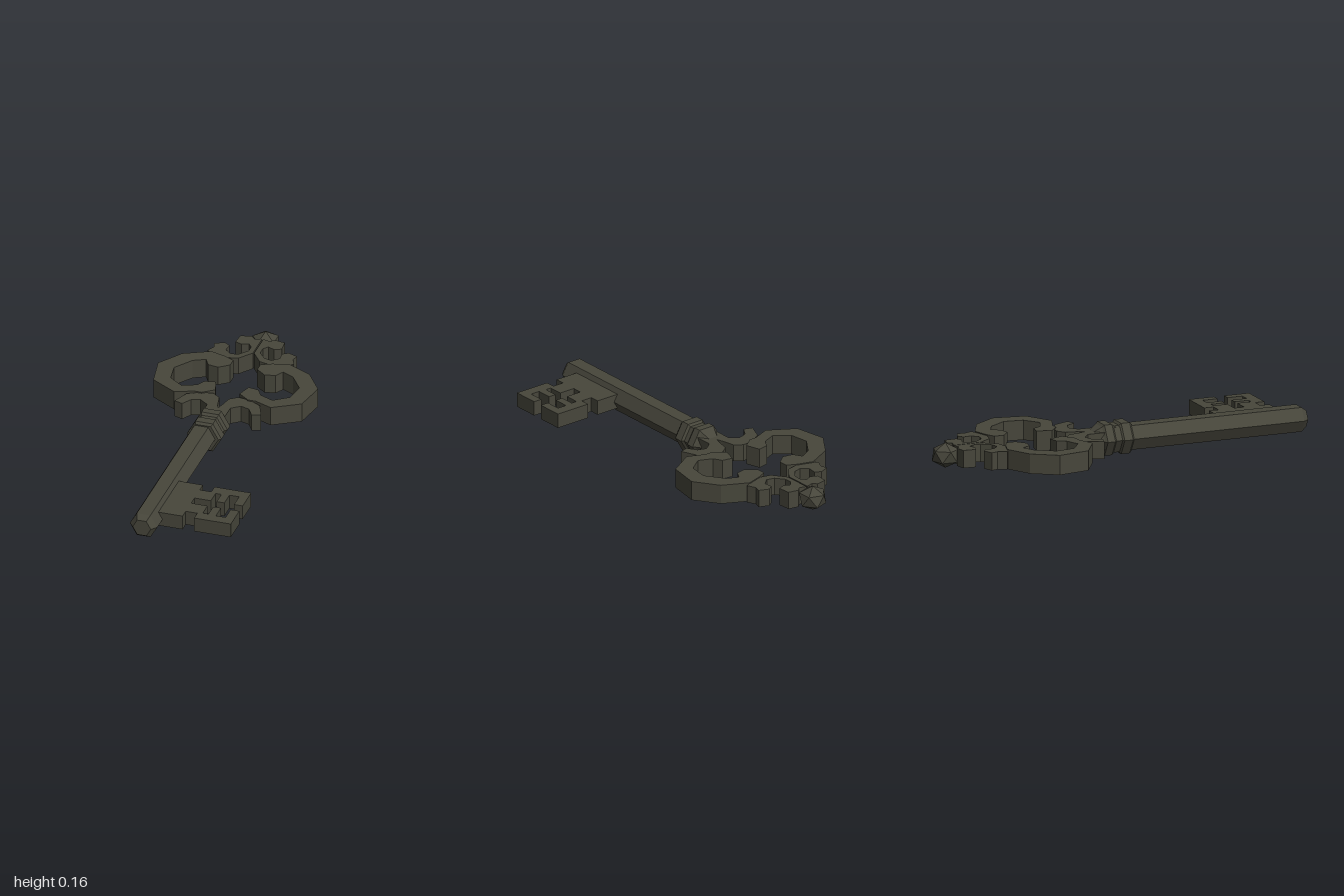
import * as THREE from 'three';

const MID_Y = 0.08;
const metal = new THREE.MeshStandardMaterial({ color: 0x47463b, flatShading: true });

// Flat plate from an [x, z] outline, lying in the ground plane around MID_Y
function plate(name, outline, thickness, side = 1) {
  const shape = new THREE.Shape(outline.map(([x, z]) => new THREE.Vector2(x * side, z)));
  const geo = new THREE.ExtrudeGeometry(shape, { depth: thickness, bevelEnabled: false });
  geo.rotateX(Math.PI / 2).translate(0, MID_Y + thickness / 2, 0);
  const mesh = new THREE.Mesh(geo, metal);
  mesh.name = name;
  return mesh;
}

// Six-sided turned part along z from a [radius, z] profile
function turned(name, profile, x = 0) {
  const geo = new THREE.LatheGeometry(profile.map(([r, z]) => new THREE.Vector2(r, z)), 6, Math.PI / 6);
  geo.rotateX(Math.PI / 2).translate(x, MID_Y, 0);
  const mesh = new THREE.Mesh(geo, metal);
  mesh.name = name;
  return mesh;
}

export function createModel() {
  const key = new THREE.Group();
  key.name = 'key';

  // Shaft with chamfered tip
  key.add(turned('shaft', [[0, -0.05], [0.071, -0.05], [0.071, 0.97], [0.047, 1], [0, 1]], -0.01));

  // Double collar, tapering into the bow
  key.add(turned('collar', [
    [0, -0.16], [0.04, -0.155], [0.078, -0.1], [0.09, -0.09], [0.09, -0.05], [0.078, -0.037],
    [0.078, -0.01], [0.09, 0], [0.09, 0.045], [0.078, 0.058], [0, 0.058],
  ]));

  // Bit: one half of the teeth, mirrored about its centre line
  const half = [
    [0.03, 0.565], [0.165, 0.565], [0.165, 0.615], [0.225, 0.615], [0.225, 0.565], [0.415, 0.565],
    [0.415, 0.7], [0.37, 0.7], [0.37, 0.62], [0.32, 0.62], [0.32, 0.7], [0.28, 0.7],
    [0.28, 0.625], [0.25, 0.625], [0.25, 0.7], [0.165, 0.7],
  ];
  const otherHalf = half.map(([x, z]) => [x, 1.453 - z]).reverse();
  key.add(plate('bit', [...half, ...otherHalf], 0.075));

  // Bow scrolls, drawn for +x and mirrored
  const ring = [
    [0.07, -0.63], [0.12, -0.655], [0.2, -0.68], [0.33, -0.615], [0.415, -0.49], [0.385, -0.325],
    [0.25, -0.243], [0.16, -0.28], [0.12, -0.28], [0.062, -0.325], [0.085, -0.4], [0.14, -0.39],
    [0.165, -0.345], [0.235, -0.315], [0.31, -0.37], [0.325, -0.47], [0.26, -0.565], [0.2, -0.595],
    [0.175, -0.55], [0.12, -0.54], [0.07, -0.58],
  ];
  const crown = [
    [0.003, -0.88], [0.003, -0.735], [0.055, -0.665], [0.12, -0.65], [0.19, -0.672], [0.225, -0.69],
    [0.205, -0.735], [0.215, -0.77], [0.165, -0.79], [0.135, -0.77], [0.14, -0.725], [0.105, -0.695],
    [0.065, -0.705], [0.03, -0.75], [0.03, -0.79], [0.05, -0.815], [0.085, -0.8], [0.12, -0.815],
    [0.115, -0.88], [0.06, -0.89], [0.04, -0.87],
  ];
  const base = [
    [0, -0.09], [0, -0.17], [0.01, -0.2], [0.025, -0.27], [0.065, -0.3], [0.125, -0.29], [0.19, -0.255],
    [0.225, -0.17], [0.18, -0.155], [0.15, -0.205], [0.105, -0.22], [0.06, -0.185], [0.06, -0.145],
    [0.06, -0.09],
  ];
  for (const [side, label] of [[1, 'left'], [-1, 'right']]) {
    key.add(plate(label + 'BowRing', ring, 0.1, side));
    key.add(plate(label + 'CrownScroll', crown, 0.09, side));
    key.add(plate(label + 'BaseScroll', base, 0.088, side));
  }

  // Faceted finial
  const finial = new THREE.Mesh(new THREE.IcosahedronGeometry(0.075, 0), metal);
  finial.geometry.rotateZ(Math.atan(2 / (1 + Math.sqrt(5)))).scale(1, 0.85, 1);
  finial.position.set(0, MID_Y, -0.926);
  finial.name = 'finial';
  key.add(finial);

  return key;
}
